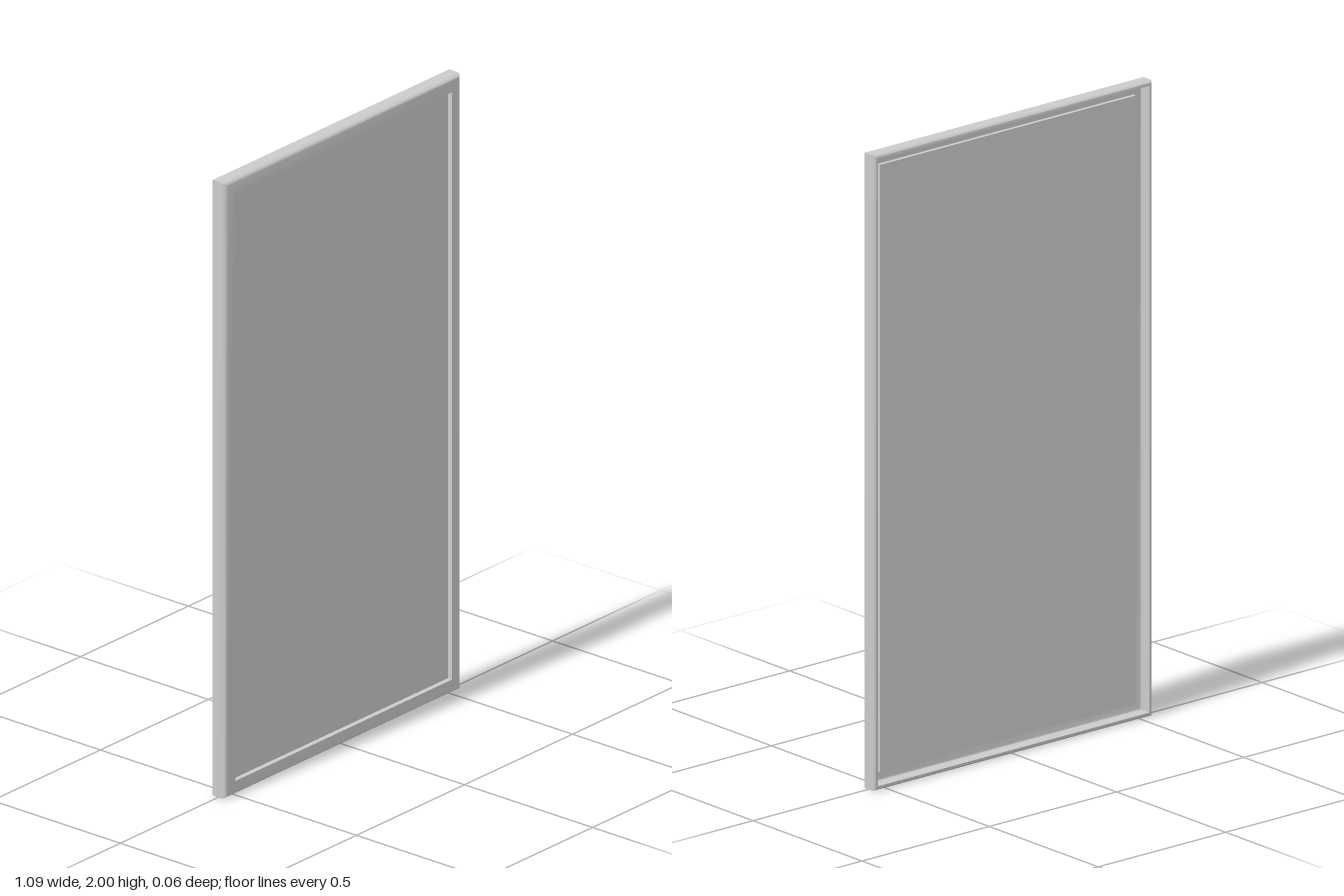
import * as THREE from 'three';
import { toCreasedNormals } from 'three/addons/utils/BufferGeometryUtils.js';

const W = 1.094, H = 2, T = 0.056, BORDER = 0.046;

// Moulding cross-section as [inset from the outer edge, z], open channel to the back
function mouldingProfile() {
  const z = T / 2, pts = [];
  const arc = (cx, cz, r, from, to, n = 6) => {
    for (let i = 0; i <= n; i++) {
      const a = from + ((to - from) * i) / n;
      pts.push([cx + r * Math.cos(a), cz + r * Math.sin(a)]);
    }
  };
  pts.push([BORDER, 0.01], [BORDER, z]);
  arc(0.016, z - 0.016, 0.016, Math.PI / 2, Math.PI);       // rounded front edge
  arc(0.01, -z + 0.01, 0.01, Math.PI, Math.PI * 1.5);       // rounded back edge
  pts.push([0.014, -z], [0.014, 0.004]);                    // inner side of the lip
  arc(0.02, 0.004, 0.006, Math.PI, Math.PI / 2, 3);         // cove into channel floor
  return pts;
}

// Sweep a closed profile round a rectangle with mitred corners
function mitredFrame(profile) {
  const corners = [[-1, -1], [1, -1], [1, 1], [-1, 1]];
  const at = ([d, z], [sx, sy]) => [sx * (W / 2 - d), H / 2 + sy * (H / 2 - d), z];
  const pos = [];
  corners.forEach((c0, k) => {
    const c1 = corners[(k + 1) % 4];
    profile.forEach((p0, i) => {
      const p1 = profile[(i + 1) % profile.length];
      const a = at(p0, c0), b = at(p0, c1), c = at(p1, c1), d = at(p1, c0);
      pos.push(...a, ...c, ...b, ...a, ...d, ...c);
    });
  });
  const g = new THREE.BufferGeometry();
  g.setAttribute('position', new THREE.Float32BufferAttribute(pos, 3));
  return toCreasedNormals(g, THREE.MathUtils.degToRad(40));
}

export function createModel() {
  const group = new THREE.Group();
  group.name = 'framedPanel';
  const material = new THREE.MeshStandardMaterial({ color: 0xcccccc });

  // Moulded surround
  const frame = new THREE.Mesh(mitredFrame(mouldingProfile()), material);
  frame.name = 'frame';

  // Flat sheet set back inside the frame
  const panel = new THREE.Mesh(
    new THREE.BoxGeometry(W - 2 * BORDER + 0.004, H - 2 * BORDER + 0.004, 0.014), material);
  panel.position.set(0, H / 2, 0.005);
  panel.name = 'panel';

  group.add(frame, panel);
  return group;
}
